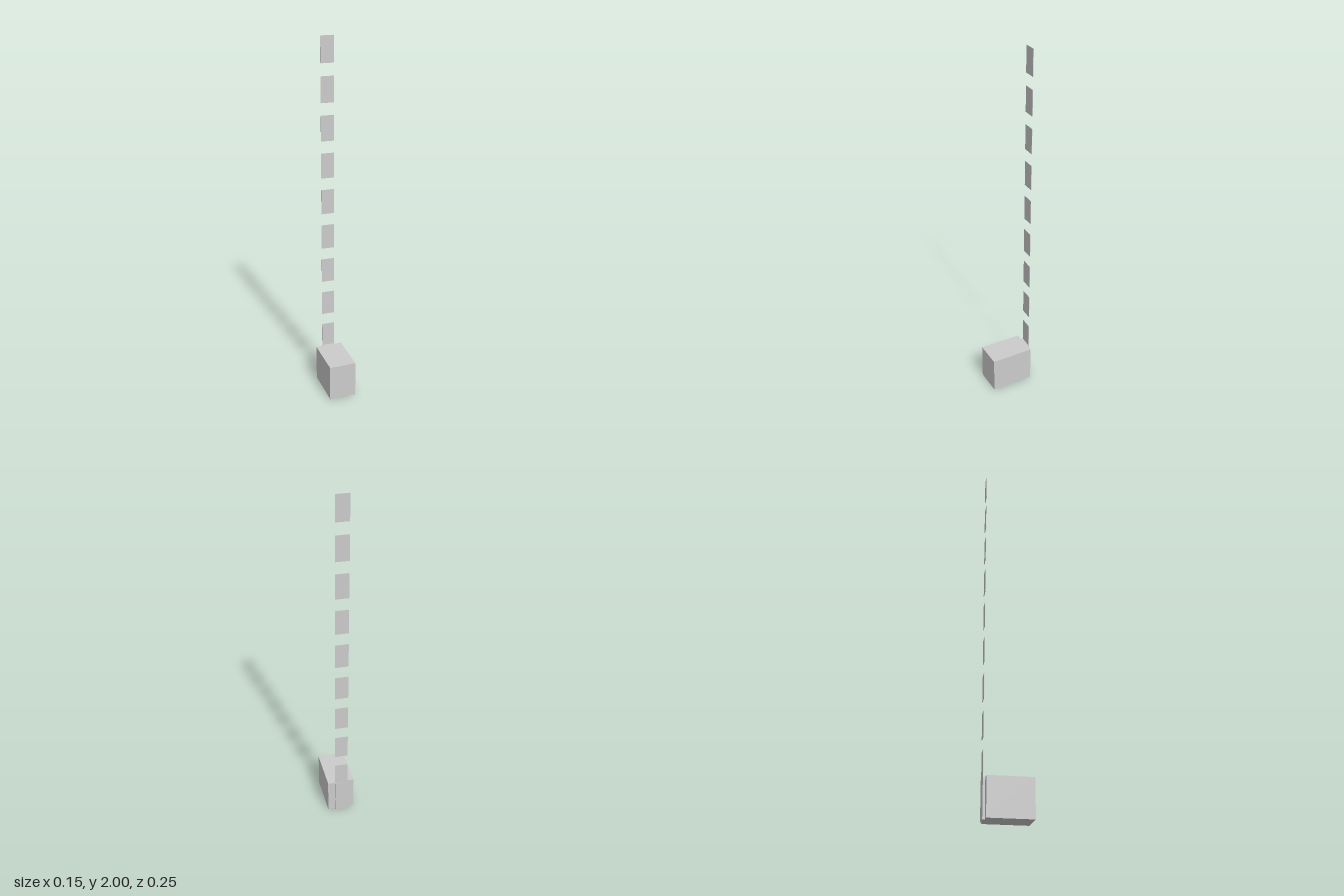
import * as THREE from 'three';

const material = new THREE.MeshStandardMaterial({ color: 0xcccccc, flatShading: true });

function addBox(group, name, size, position) {
  const mesh = new THREE.Mesh(new THREE.BoxGeometry(...size), material);
  mesh.name = name;
  mesh.position.set(...position);
  group.add(mesh);
  return mesh;
}

export function createModel() {
  const group = new THREE.Group();
  group.name = 'blockWithSegmentedStrip';

  // Main block standing on the ground
  addBox(group, 'block', [0.152, 0.207, 0.242], [0, 0.1035, 0.006]);

  // Raised mount on the back of the block
  addBox(group, 'backMount', [0.072, 0.207, 0.0125], [0, 0.1035, -0.1208]);

  // Column of thin, evenly spaced plates, turned very slightly about y
  const count = 10, height = 0.14, pitch = (2 - height) / (count - 1);
  const strip = new THREE.Group();
  strip.name = 'strip';
  for (let i = 0; i < count; i++) {
    const plate = addBox(strip, `plate${i + 1}`, [0.072, height, 0.002],
      [0, height / 2 + i * pitch, -0.125]);
    plate.rotation.y = -0.04;
  }
  group.add(strip);

  return group;
}
